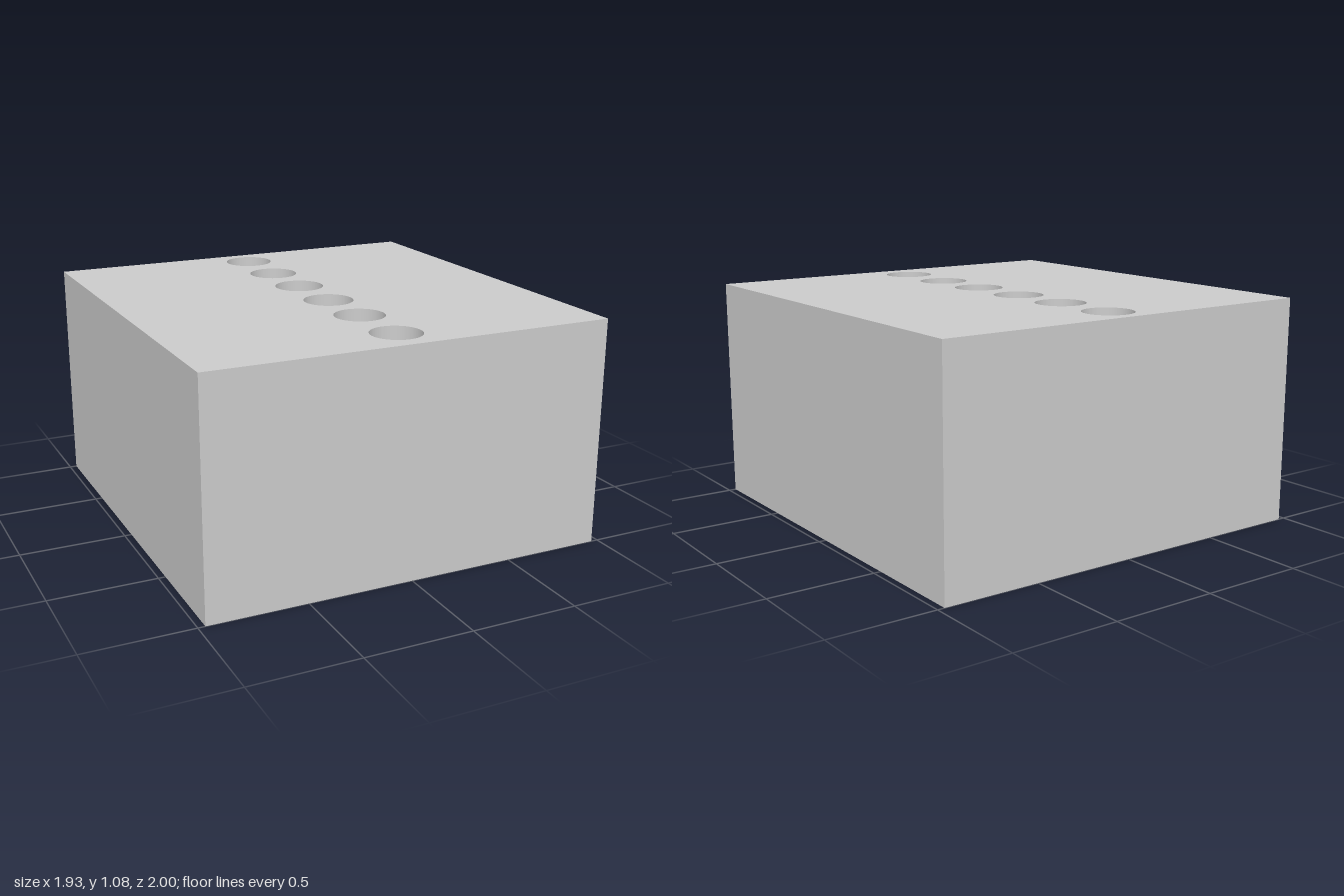
import * as THREE from 'three';
import { toCreasedNormals } from 'three/addons/utils/BufferGeometryUtils.js';

const HALF_WIDTH = 0.967;
const HALF_LENGTH = 1;
const HEIGHT = 1.08;
const HOLE_RADIUS = 0.118;
const HOLE_Z = [-0.83, -0.5, -0.18, 0.15, 0.47, 0.81];

export function createModel() {
  const group = new THREE.Group();
  group.name = 'drilledBlock';

  // Rectangular footprint, drawn with shape y = -z
  const footprint = new THREE.Shape([
    new THREE.Vector2(-HALF_WIDTH, -HALF_LENGTH),
    new THREE.Vector2(HALF_WIDTH, -HALF_LENGTH),
    new THREE.Vector2(HALF_WIDTH, HALF_LENGTH),
    new THREE.Vector2(-HALF_WIDTH, HALF_LENGTH),
  ]);

  // Row of round through-holes along the centre line
  for (const z of HOLE_Z) {
    footprint.holes.push(new THREE.Path().absarc(0, -z, HOLE_RADIUS, 0, Math.PI * 2, true));
  }

  // Extrude upward; smooth hole walls, sharp block edges
  const geometry = new THREE.ExtrudeGeometry(footprint, {
    depth: HEIGHT,
    bevelEnabled: false,
    curveSegments: 64,
  });
  geometry.rotateX(-Math.PI / 2);

  const block = new THREE.Mesh(
    toCreasedNormals(geometry, Math.PI / 6),
    new THREE.MeshStandardMaterial({ color: 0xcccccc })
  );
  block.name = 'block';
  group.add(block);

  return group;
}
